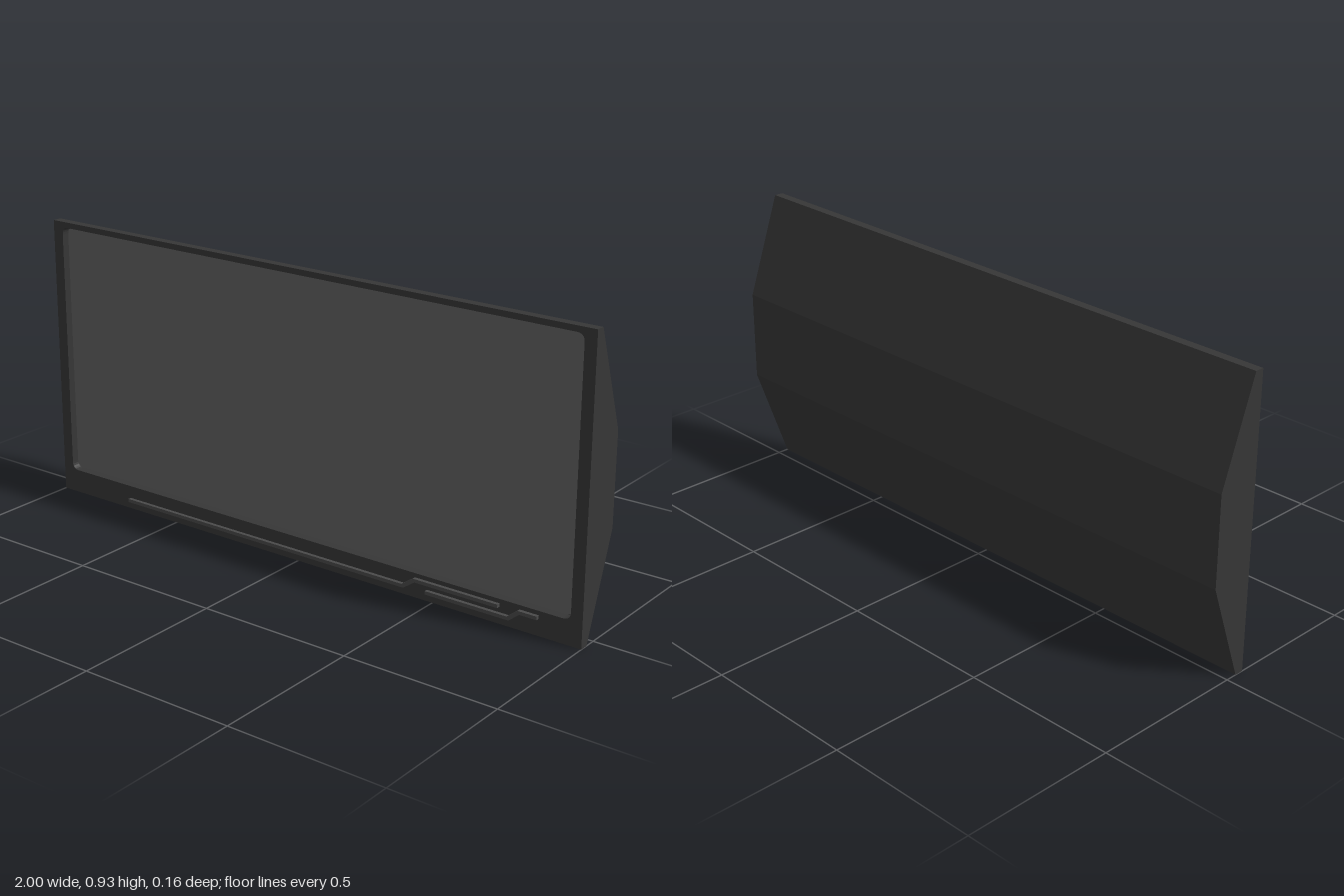
import * as THREE from 'three';

const HEIGHT = 0.93, FRONT = 0.066, SEAM = 0.037, BACK = -0.077;

function roundedRect(target, x0, y0, x1, y1, r) {
  target.moveTo(x0 + r, y0);
  target.lineTo(x1 - r, y0);
  target.quadraticCurveTo(x1, y0, x1, y0 + r);
  target.lineTo(x1, y1 - r);
  target.quadraticCurveTo(x1, y1, x1 - r, y1);
  target.lineTo(x0 + r, y1);
  target.quadraticCurveTo(x0, y1, x0, y1 - r);
  target.lineTo(x0, y0 + r);
  target.quadraticCurveTo(x0, y0, x0 + r, y0);
  return target;
}

function polygon(points) {
  return new THREE.Shape(points.map(([x, y]) => new THREE.Vector2(x, y)));
}

function extrude(shape, depth) {
  return new THREE.ExtrudeGeometry(shape, { depth, bevelEnabled: false, curveSegments: 6 });
}

// Thin stepped strip: low run, diagonal rise, high run
function stripShape(start, bend, rise, end) {
  const low = 0.031, high = 0.059, h = 0.0055, s = 0.003;
  return polygon([
    [start, low - h], [bend + s, low - h], [rise + s, high - h], [end, high - h],
    [end, high + h], [rise - s, high + h], [bend - s, low + h], [start, low + h],
  ]);
}

export function createModel() {
  const model = new THREE.Group();
  const material = (name, color) => {
    const m = new THREE.MeshStandardMaterial({ color });
    m.name = name;
    return m;
  };
  const casing = material('casing charcoal', 0x363636);
  const glass = material('screen grey', 0x626262);
  const trim = material('trim grey', 0x4a4a4a);

  const add = (name, geometry, mat) => {
    const mesh = new THREE.Mesh(geometry, mat);
    mesh.name = name;
    model.add(mesh);
    return mesh;
  };

  // Front bezel with a rounded opening
  const bezel = polygon([[-1, 0], [1, 0], [1, HEIGHT], [-1, HEIGHT]]);
  bezel.holes.push(roundedRect(new THREE.Path(), -0.962, 0.078, 0.962, 0.912, 0.025));
  add('bezel', extrude(bezel, FRONT - SEAM), casing).position.z = SEAM;

  // Rear housing tapering to a flat back, swept across the width
  const housing = extrude(polygon([[SEAM, 0], [SEAM, HEIGHT], [BACK, 0.61], [BACK, 0.32]]), 2);
  housing.rotateY(-Math.PI / 2).translate(1, 0, 0);
  add('rearHousing', housing, casing);

  // Recessed screen panel
  const screen = roundedRect(new THREE.Shape(), -0.958, 0.082, 0.958, 0.908, 0.022);
  add('screen', extrude(screen, 0.008), glass).position.z = SEAM;

  // Raised trim strips along the lower bezel
  [[-0.7, 0.4, 0.44, 0.73], [0.48, 0.765, 0.8, 0.86]].forEach((run, i) => {
    add(i ? 'shortTrimStrip' : 'longTrimStrip', extrude(stripShape(...run), 0.014), trim)
      .position.z = FRONT - 0.002;
  });

  return model;
}
